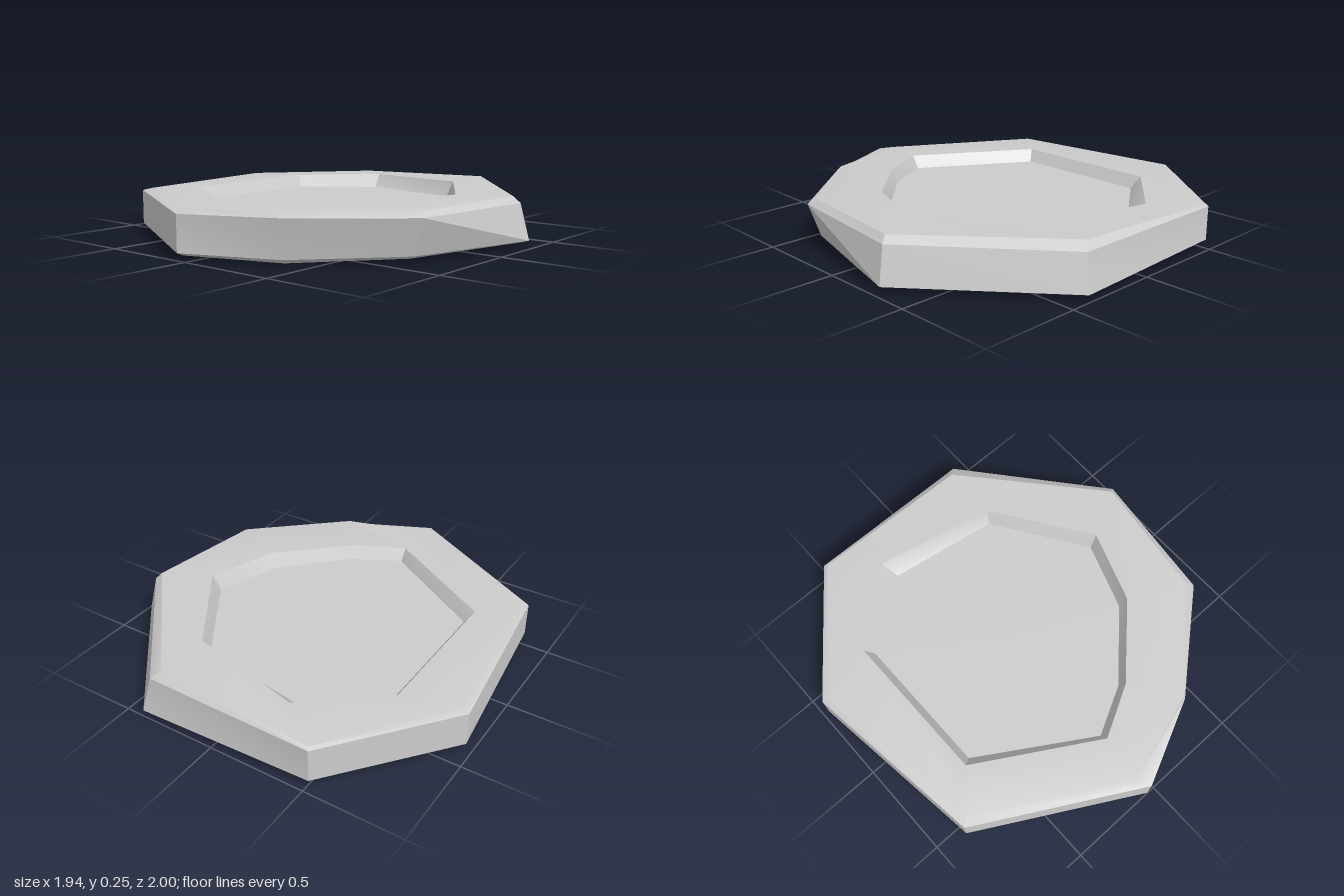
import * as THREE from 'three';
import { toCreasedNormals } from 'three/addons/utils/BufferGeometryUtils.js';

// Corner outlines as [x, z], starting at the back and running clockwise from above
const foot = [[-0.51, -0.97], [0.4, -1], [0.97, -0.31], [0.79, 0.39], [0.36, 0.76], [-0.05, 1], [-0.85, 0.55], [-0.97, -0.39]];
const shoulder = [[-0.51, -0.97], [0.37, -0.96], [0.93, -0.29], [0.85, 0.4], [0.38, 0.8], [-0.05, 1], [-0.85, 0.55], [-0.97, -0.39]];
const crown = [[-0.5, -0.955], [0.33, -0.92], [0.9, -0.27], [0.82, 0.36], [0.38, 0.79], [-0.09, 0.93], [-0.81, 0.52], [-0.93, -0.38]];
const rim = [[-0.28, -0.77], [0.33, -0.63], [0.66, -0.14], [0.53, 0.23], [0.21, 0.55], [-0.05, 0.69], [-0.65, 0.33], [-0.65, -0.46]];
const floor = [[-0.25, -0.69], [0.31, -0.6], [0.62, -0.13], [0.5, 0.21], [0.2, 0.52], [-0.05, 0.65], [-0.61, 0.3], [-0.61, -0.43]];

// Raises an outline to one height, or to a height per corner
const ring = (outline, y, scale = 1) =>
  outline.map(([x, z], i) => [x * scale, Array.isArray(y) ? y[i] : y, z * scale]);

// Joins the rings in order, closing both ends with a fan
function skin(rings) {
  const pos = [];
  const tri = (...corners) => corners.forEach((c) => pos.push(...c));
  const n = rings[0].length;
  const middle = (r) => [0, 1, 2].map((k) => r.reduce((sum, p) => sum + p[k], 0) / n);
  const first = rings[0], last = rings[rings.length - 1];
  const start = middle(first), end = middle(last);
  for (let i = 0; i < n; i++) {
    const j = (i + 1) % n;
    tri(start, first[i], first[j]);
    for (let k = 0; k + 1 < rings.length; k++) {
      const a = rings[k], b = rings[k + 1];
      tri(a[i], b[i], b[j]);
      tri(a[i], b[j], a[j]);
    }
    tri(last[i], end, last[j]);
  }
  const geometry = new THREE.BufferGeometry();
  geometry.setAttribute('position', new THREE.Float32BufferAttribute(pos, 3));
  return toCreasedNormals(geometry, 0.48);
}

export function createModel() {
  const group = new THREE.Group();
  group.name = 'stoneSlab';

  // One closed skin from the underside recess, around the edge, to the top recess
  const geometry = skin([
    ring(floor, 0.075),
    ring(rim, [0.02, 0.02, 0.02, 0.02, 0.01, 0.02, 0.02, 0.02]),
    ring(foot, [0.02, 0.02, 0.02, 0.02, 0, 0.02, 0.02, 0.02], 0.965),
    ring(foot, [0.04, 0.035, 0.03, 0.035, 0.02, 0.035, 0.035, 0.035]),
    ring(shoulder, 0.21),
    ring(crown, [0.22, 0.245, 0.243, 0.236, 0.226, 0.224, 0.222, 0.222]),
    ring(rim, [0.228, 0.24, 0.243, 0.238, 0.23, 0.225, 0.222, 0.222]),
    ring(floor, 0.16),
  ]);
  const slab = new THREE.Mesh(geometry, new THREE.MeshStandardMaterial({ color: 0xcccccc }));
  slab.name = 'slab';
  group.add(slab);
  return group;
}
